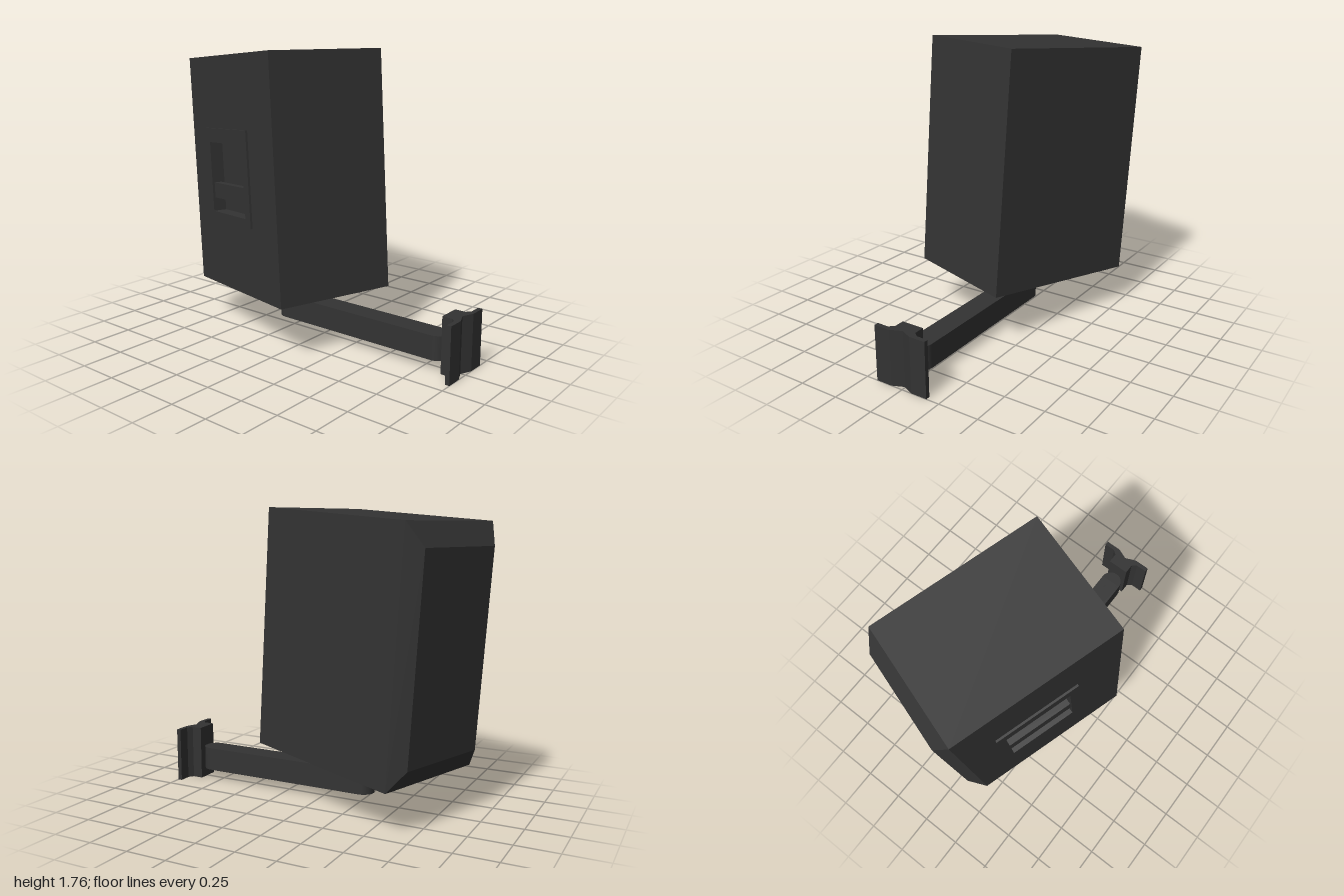
import * as THREE from 'three';

const W = 0.757, H = 1.434, D = 1.03;         // cabinet size
const BEVEL = { x: 0.075, y: 0.13, z: 0.078 }; // chamfer around the back
const ARM_X = -0.005, ARM_R = 0.07;

const material = new THREE.MeshStandardMaterial({ color: 0x333333, side: THREE.DoubleSide });

function add(parent, name, geometry, x = 0, y = 0, z = 0) {
  const mesh = new THREE.Mesh(geometry, material);
  mesh.name = name;
  mesh.position.set(x, y, z);
  parent.add(mesh);
  return mesh;
}

// Rectangle given by its z and y limits, optionally with a rectangular hole
function rectangle([z0, z1, y0, y1], hole) {
  const corners = [[z0, y0], [z1, y0], [z1, y1], [z0, y1]].map(p => new THREE.Vector2(...p));
  const shape = new THREE.Shape(corners);
  if (hole) shape.holes.push(rectangle(hole));
  return shape;
}

// Cabinet shell: three rectangular sections, with the handle side left open
function shellGeometry() {
  const section = (z, dx, dy) => [[dx, dy, z], [W - dx, dy, z], [W - dx, H - dy, z], [dx, H - dy, z]];
  const front = section(0, 0, 0);
  const middle = section(-D, 0, 0);
  const back = section(-D - BEVEL.z, BEVEL.x, BEVEL.y);
  const points = [];
  const quad = (a, b, c, d) => points.push(...a, ...b, ...c, ...a, ...c, ...d);
  quad(...front);
  quad(back[3], back[2], back[1], back[0]);
  for (let i = 0; i < 4; i++) {
    const j = (i + 1) % 4;
    if (i < 3) quad(front[i], middle[i], middle[j], front[j]);
    quad(middle[i], back[i], back[j], middle[j]);
  }
  const geometry = new THREE.BufferGeometry();
  geometry.setAttribute('position', new THREE.Float32BufferAttribute(points, 3));
  geometry.computeVertexNormals();
  return geometry;
}

function createCabinet() {
  const cabinet = new THREE.Group();
  cabinet.name = 'cabinet';
  add(cabinet, 'cabinetShell', shellGeometry());

  // Side panel with a recessed carrying handle
  const frame = [-0.825, -0.29, 0.42, 0.995];
  const opening = [-0.773, -0.35, 0.473, 0.908];
  const depth = 0.07, lip = 0.013;
  add(cabinet, 'handleSide',
    new THREE.ShapeGeometry(rectangle([-D, 0, 0, H], opening)).rotateY(-Math.PI / 2));
  add(cabinet, 'handleFrame',
    new THREE.ExtrudeGeometry(rectangle(frame, opening), { depth: depth + lip, bevelEnabled: false })
      .rotateY(-Math.PI / 2), depth);
  const width = opening[1] - opening[0], height = opening[3] - opening[2];
  const midZ = (opening[0] + opening[1]) / 2, midY = (opening[2] + opening[3]) / 2;
  add(cabinet, 'handleRecessFloor', new THREE.BoxGeometry(0.01, height, width), depth + 0.005, midY, midZ);
  add(cabinet, 'handleBar', new THREE.BoxGeometry(0.045, 0.095, width), 0.024, 0.605, midZ);

  // Turned to one side and tilted back
  cabinet.rotation.set(-0.077, -0.315, 0, 'YXZ');
  cabinet.position.set(-0.54, 0.335, 0.12);
  return cabinet;
}

function createBracket() {
  const bracket = new THREE.Group();
  bracket.name = 'bracket';

  // Folded wall plate, drawn from above
  const half = [[0.07, 1], [0.172, 1], [0.172, 0.973], [0.1, 0.973], [0.07, 0.95], [0.07, 0.885]];
  const mirrored = half.map(([x, z]) => [-x, z]).reverse();
  const outline = [[0, 0.97], ...half, ...mirrored].map(([x, z]) => new THREE.Vector2(x, -z));
  add(bracket, 'wallPlate',
    new THREE.ExtrudeGeometry(new THREE.Shape(outline), { depth: 0.34, bevelEnabled: false })
      .rotateX(-Math.PI / 2));

  // Arm with a rounded hinge end and an upright pivot under the cabinet
  const pivotZ = -0.265, hingeZ = 0.817, low = 0.065, thick = 0.147;
  add(bracket, 'arm', new THREE.BoxGeometry(ARM_R * 2, thick, hingeZ - pivotZ),
    0, low + thick / 2, (hingeZ + pivotZ) / 2);
  add(bracket, 'armHinge', new THREE.CylinderGeometry(ARM_R, ARM_R, thick, 24), 0, low + thick / 2, hingeZ);
  add(bracket, 'pivotPost', new THREE.CylinderGeometry(ARM_R, ARM_R, 0.25, 24), 0, low + 0.125, pivotZ);

  bracket.position.x = ARM_X;
  return bracket;
}

export function createModel() {
  const model = new THREE.Group();
  model.name = 'wallSpeaker';
  model.add(createCabinet(), createBracket());
  return model;
}
